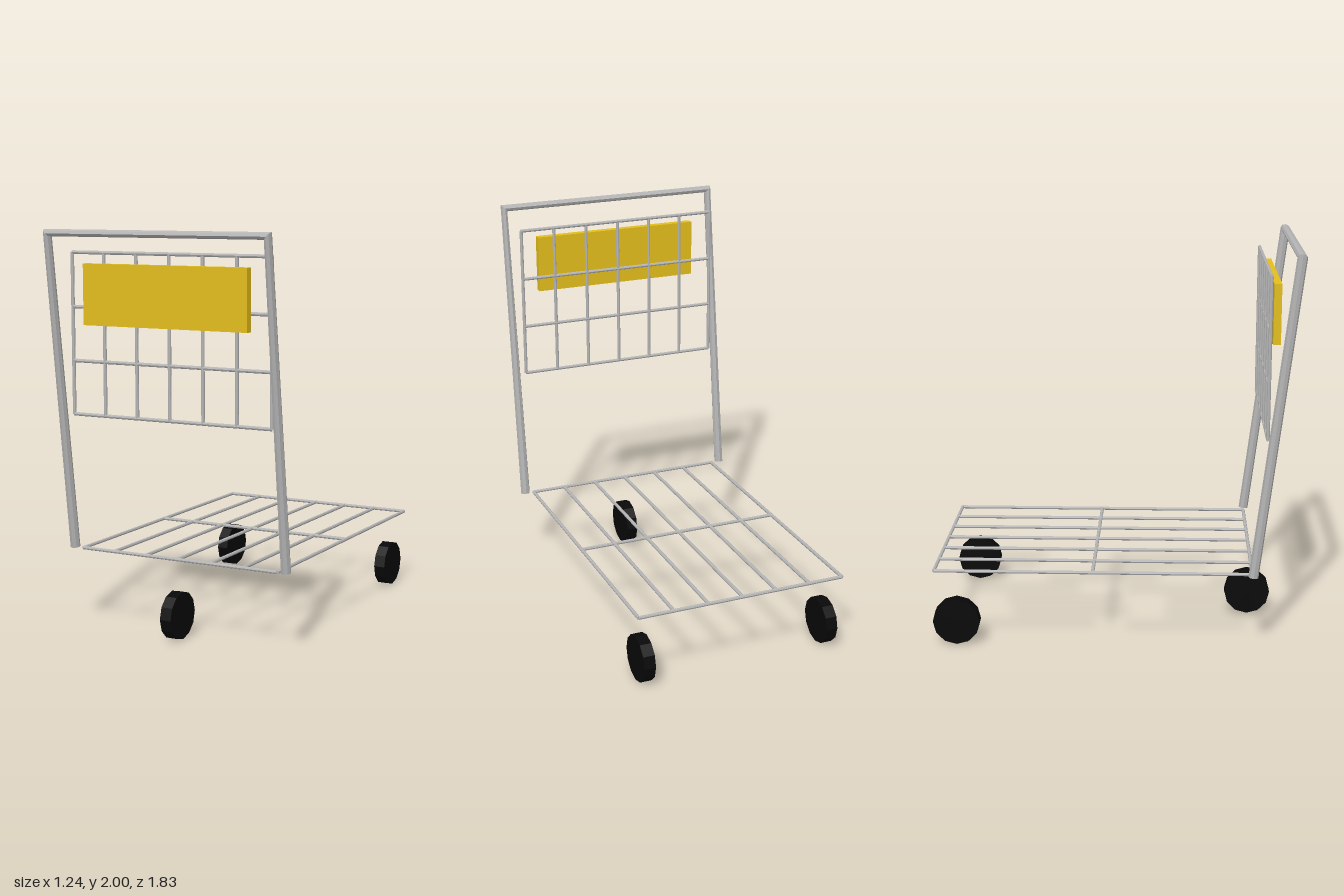
import * as THREE from 'three';

const mat = (name, color, options = {}) => {
  const m = new THREE.MeshStandardMaterial({ color, ...options });
  m.name = name;
  return m;
};

// Straight-sided path: one ring per corner, set square to the mean direction there
class CornerPath extends THREE.Curve {
  constructor(points) {
    super();
    this.points = points;
  }
  getPointAt(u) {
    return this.points[Math.round(u * (this.points.length - 1))].clone();
  }
  getTangentAt(u) {
    const p = this.points, last = p.length - 1, i = Math.round(u * last);
    const side = k => p[k + 1].clone().sub(p[k]).normalize();
    return side(Math.max(i - 1, 0)).add(side(Math.min(i, last - 1))).normalize();
  }
}

export function createModel() {
  const steel = mat('steel', 0xb4b4b4, { flatShading: true, side: THREE.DoubleSide });
  const yellow = mat('yellow panel', 0xe3be1c);
  const rubber = mat('black rubber', 0x080808, { flatShading: true });

  const cart = new THREE.Group();
  cart.name = 'cart';

  // Straight round wire between two points
  const wire = (parent, name, a, b) => {
    const from = new THREE.Vector3(...a), to = new THREE.Vector3(...b);
    const dir = to.clone().sub(from);
    const mesh = new THREE.Mesh(new THREE.CylinderGeometry(0.009, 0.009, dir.length(), 8), steel);
    mesh.name = name;
    mesh.position.copy(from).add(to).multiplyScalar(0.5);
    mesh.quaternion.setFromUnitVectors(new THREE.Vector3(0, 1, 0), dir.normalize());
    parent.add(mesh);
  };

  // Wire grid: seven long wires and several cross wires; at(t) gives [y, z]
  const wireGrid = (name, crossCount, at) => {
    const grid = new THREE.Group();
    grid.name = name;
    const half = 0.547;
    for (let i = 0; i < 7; i++) {
      const x = -half + (2 * half * i) / 6;
      wire(grid, 'longWire', [x, ...at(0)], [x, ...at(1)]);
    }
    for (let i = 0; i < crossCount; i++) {
      const p = at(i / (crossCount - 1));
      wire(grid, 'crossWire', [-half, ...p], [half, ...p]);
    }
    cart.add(grid);
  };
  wireGrid('deck', 3, t => [0.398, 0.69 - 1.59 * t]);
  wireGrid('backGrid', 4, t => [1.09 + 0.797 * t, 0.75]);

  // Leaning handle frame, one bent tube
  const corners = [[-0.595, 0.4, 0.692], [-0.595, 1.984, 0.889], [0.595, 1.984, 0.889], [0.595, 0.4, 0.692]];
  const path = new CornerPath(corners.map(p => new THREE.Vector3(...p)));
  const handle = new THREE.Mesh(new THREE.TubeGeometry(path, 3, 0.025, 8), steel);
  handle.name = 'handle';
  cart.add(handle);

  // Panel on the front of the back grid
  const panel = new THREE.Mesh(new THREE.BoxGeometry(0.896, 0.298, 0.038), yellow);
  panel.name = 'panel';
  panel.position.set(0, 1.687, 0.789);
  cart.add(panel);

  // One front wheel and two rear wheels
  const wheelGeometry = new THREE.CylinderGeometry(0.119, 0.119, 0.06, 12).rotateZ(Math.PI / 2);
  for (const [name, x, z] of [['frontWheel', 0, 0.69], ['rearLeftWheel', 0.495, -0.797], ['rearRightWheel', -0.495, -0.797]]) {
    const wheel = new THREE.Mesh(wheelGeometry, rubber);
    wheel.name = name;
    wheel.position.set(x, 0.119, z);
    cart.add(wheel);
  }
  return cart;
}
